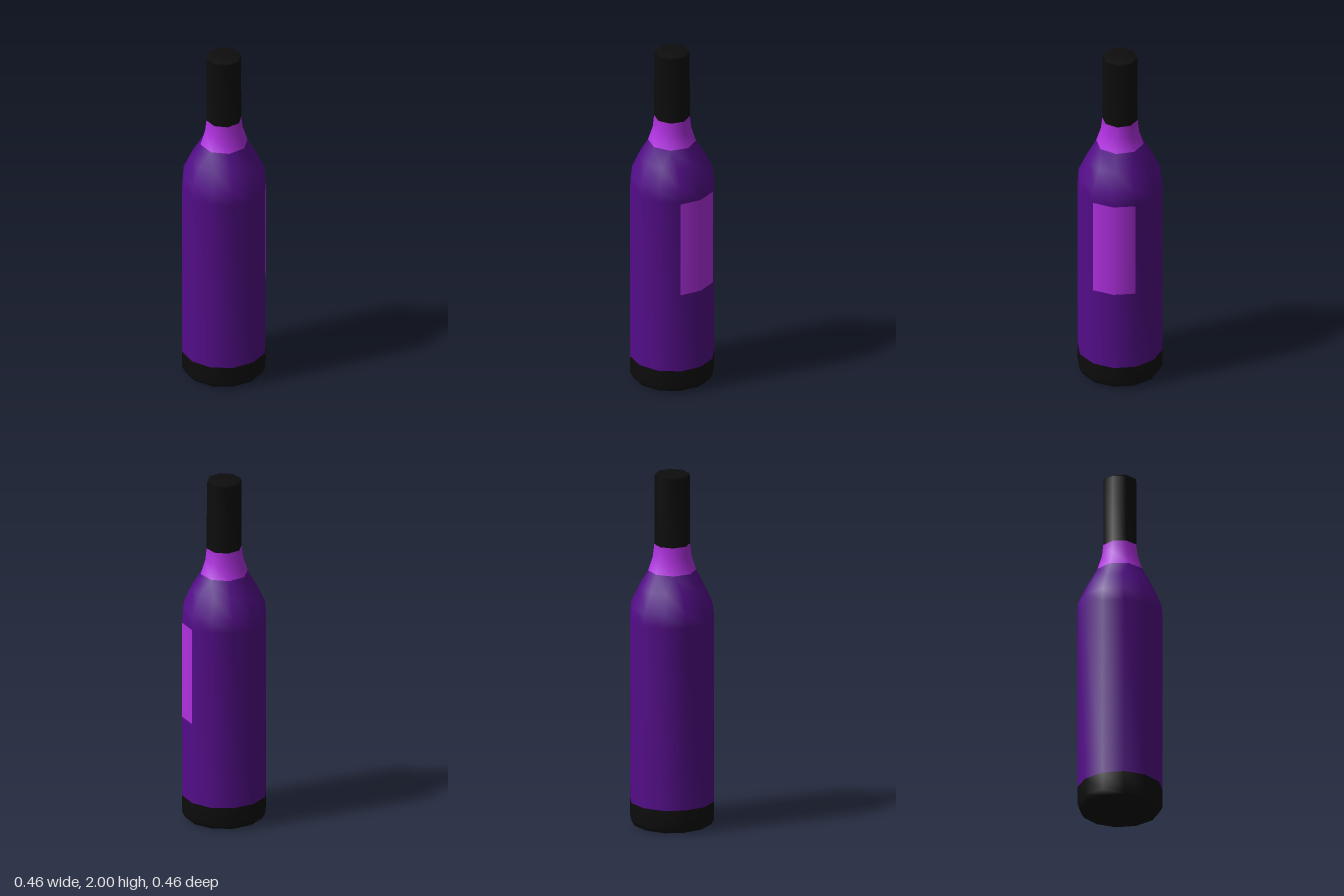
import * as THREE from 'three';

const TURN = THREE.MathUtils.degToRad(18.6);

// Rings of [height, radius, sides], bottom to top, split by part
const PARTS = [
  { name: 'base', color: 0x0d0d0d, rings: [[0, 0, 12], [0, 0.19, 12], [0.01, 0.218, 12], [0.04, 0.235, 12], [0.14, 0.235, 12]] },
  { name: 'body', color: 0x530d88, rings: [[1.18, 0.235, 12], [1.255, 0.23, 12], [1.36, 0.181, 12], [1.45, 0.132, 8]] },
  { name: 'neck', color: 0xb030e0, rings: [[1.53, 0.106, 8], [1.6, 0.098, 8]] },
  { name: 'capsule', color: 0x0d0d0d, rings: [[1.99, 0.097, 8], [2, 0.093, 8], [2, 0, 8]] },
];

// Triangles joining two rings, which may differ in side count
function stitch(index, lo, n, up, m) {
  let i = 0, j = 0;
  while (i < n || j < m) {
    const a = lo + (i % n), b = up + (j % m);
    if (j >= m || (i < n && (i + 1) / n <= (j + 1) / m)) {
      i++;
      index.push(a, lo + (i % n), b);
    } else {
      j++;
      index.push(a, up + (j % m), b);
    }
  }
}

function addMesh(group, name, geometry, color) {
  const mesh = new THREE.Mesh(geometry, new THREE.MeshStandardMaterial({ color }));
  mesh.name = name;
  group.add(mesh);
}

export function createModel() {
  const bottle = new THREE.Group();
  bottle.name = 'bottle';

  // One continuous skin, so the shading flows across the coloured bands
  const positions = [], all = [], bands = [];
  let previous = null;
  for (const part of PARTS) {
    const index = [];
    for (const [y, r, sides] of part.rings) {
      const start = positions.length / 3;
      for (let k = 0; k < sides; k++) {
        const a = TURN + (k / sides) * Math.PI * 2;
        positions.push(r * Math.sin(a), y, r * Math.cos(a));
      }
      if (previous) stitch(index, previous.start, previous.sides, start, sides);
      previous = { start, sides };
    }
    all.push(...index);
    bands.push(index);
  }
  const skin = new THREE.BufferGeometry();
  skin.setAttribute('position', new THREE.Float32BufferAttribute(positions, 3));
  skin.setIndex(all);
  skin.computeVertexNormals();

  // Each band is its own mesh over the shared vertices
  PARTS.forEach((part, p) => {
    const geometry = new THREE.BufferGeometry();
    geometry.setAttribute('position', skin.attributes.position);
    geometry.setAttribute('normal', skin.attributes.normal);
    geometry.setIndex(bands[p]);
    addMesh(bottle, part.name, geometry, part.color);
  });

  // Label wrapped over two facets of the body
  const profile = [new THREE.Vector2(0.2365, 0.61), new THREE.Vector2(0.2365, 1.17)];
  const label = new THREE.LatheGeometry(profile, 2, TURN + Math.PI / 3, Math.PI / 3);
  addMesh(bottle, 'label', label, 0xb030e0);

  return bottle;
}
